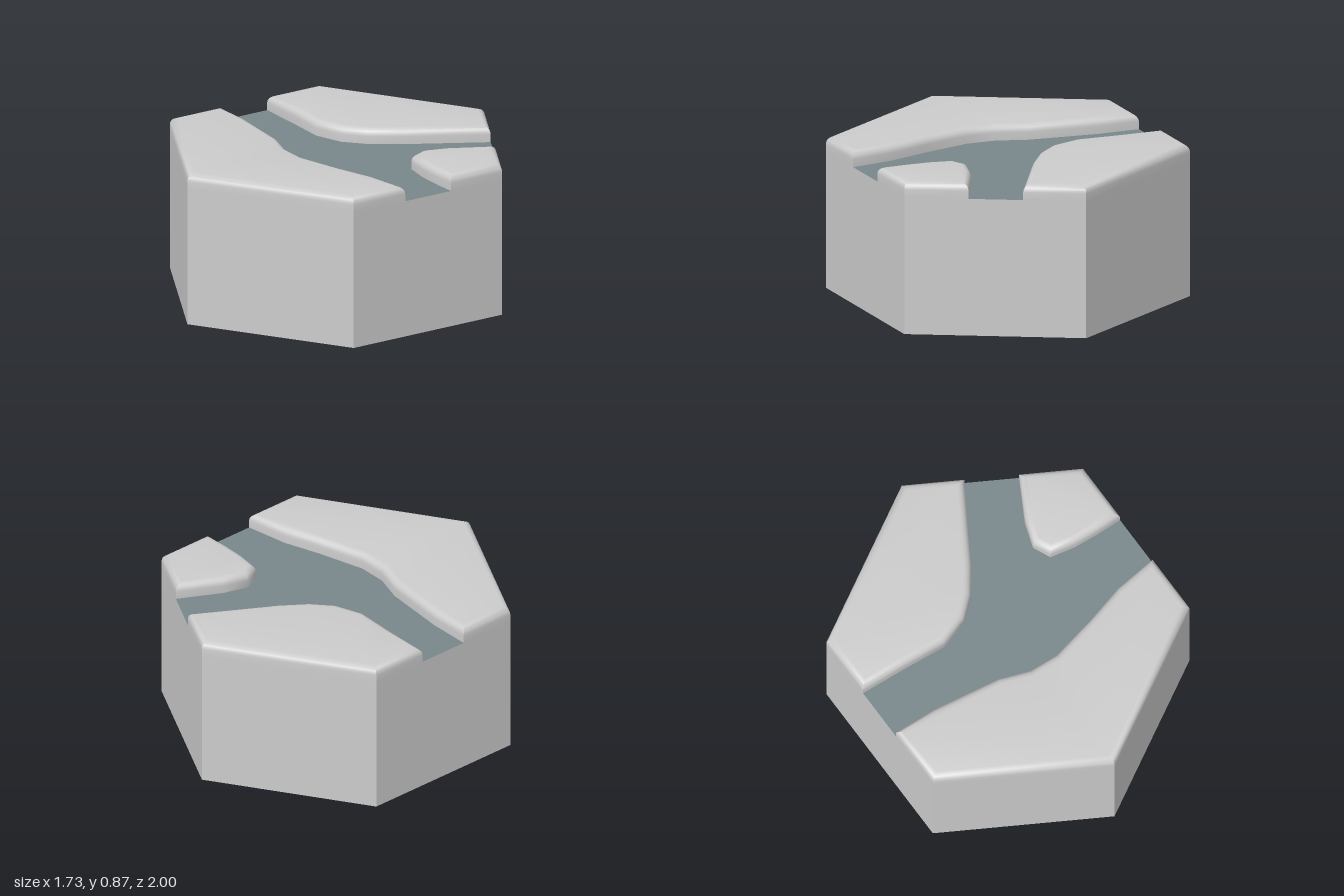
import * as THREE from 'three';
import { toCreasedNormals } from 'three/addons/utils/BufferGeometryUtils.js';

const ROAD_Y = 0.78, TOP_Y = 0.866, ROUND = 0.042, STEPS = 5;
const H = Math.sqrt(3) / 2;

// Moves every corner of a counter-clockwise outline inwards along its mitre.
function inset(points, d) {
  const n = points.length;
  return points.map((p, i) => {
    const a = p.clone().sub(points[(i + n - 1) % n]).normalize();
    const b = points[(i + 1) % n].clone().sub(p).normalize();
    const na = new THREE.Vector2(-a.y, a.x), nb = new THREE.Vector2(-b.y, b.x);
    const m = na.clone().add(nb);
    return p.clone().addScaledVector(m, d / (1 + na.dot(nb)));
  });
}

// A raised plot: straight wall, rounded rim and flat top over an (x, z) outline.
function plotGeometry(coords) {
  const outline = coords.map(([x, z]) => new THREE.Vector2(x, z));
  if (THREE.ShapeUtils.isClockWise(outline)) outline.reverse();
  const n = outline.length;
  const rings = [{ y: ROAD_Y, pts: outline }];
  for (let s = 0; s <= STEPS; s++) {
    const t = (s / STEPS) * Math.PI / 2;
    rings.push({
      y: TOP_Y - ROUND + ROUND * Math.sin(t),
      pts: inset(outline, ROUND * (1 - Math.cos(t))),
    });
  }
  const pos = [], idx = [];
  for (const { y, pts } of rings) for (const p of pts) pos.push(p.x, y, p.y);
  for (let r = 0; r < rings.length - 1; r++) {
    for (let i = 0; i < n; i++) {
      const a = r * n + i, b = r * n + (i + 1) % n;
      idx.push(a, a + n, b, b, a + n, b + n);
    }
  }
  const last = (rings.length - 1) * n;
  for (const [a, b, c] of THREE.ShapeUtils.triangulateShape(rings.at(-1).pts, [])) {
    idx.push(last + a, last + c, last + b);
  }
  const g = new THREE.BufferGeometry();
  g.setAttribute('position', new THREE.Float32BufferAttribute(pos, 3));
  g.setIndex(idx);
  return toCreasedNormals(g, 0.75);
}

export function createModel() {
  const group = new THREE.Group();
  const grey = new THREE.MeshStandardMaterial({ color: 0xcccccc });
  const greyFlat = new THREE.MeshStandardMaterial({ color: 0xcccccc, flatShading: true });
  const roadGrey = new THREE.MeshStandardMaterial({ color: 0x78868a });
  const add = (name, geometry, material) => {
    const mesh = new THREE.Mesh(geometry, material);
    mesh.name = name;
    group.add(mesh);
  };

  // Hexagonal base with a corner towards the front
  add('baseWalls', new THREE.CylinderGeometry(1, 1, ROAD_Y, 6, 1, true).translate(0, ROAD_Y / 2, 0), greyFlat);
  add('baseUnderside', new THREE.CircleGeometry(1, 6, Math.PI / 2).rotateX(Math.PI / 2), grey);

  // Forked road surface, seen between the plots
  add('road', new THREE.CircleGeometry(1, 6, Math.PI / 2).rotateX(-Math.PI / 2).translate(0, ROAD_Y, 0), roadGrey);

  // Raised plots around the road
  const plots = {
    frontPlot: [
      [-H, 0.152], [-0.62, 0.165], [-0.23, 0.225], [-0.06, 0.288], [0.11, 0.3],
      [0.39, 0.24], [0.61, 0.18], [H, 0.152], [H, 0.5], [0, 1], [-H, 0.5],
    ],
    backRightPlot: [
      [-H, -0.155], [-0.6, -0.138], [-0.35, -0.115], [-0.18, -0.165], [-0.065, -0.26],
      [0.04, -0.4], [0.3, -0.827], [0, -1], [-H, -0.5],
    ],
    backLeftPlot: [
      [H, -0.155], [0.72, -0.158], [0.57, -0.17], [0.43, -0.2], [0.385, -0.3],
      [0.43, -0.44], [0.56, -0.677], [H, -0.5],
    ],
  };
  for (const [name, outline] of Object.entries(plots)) add(name, plotGeometry(outline), grey);

  return group;
}
